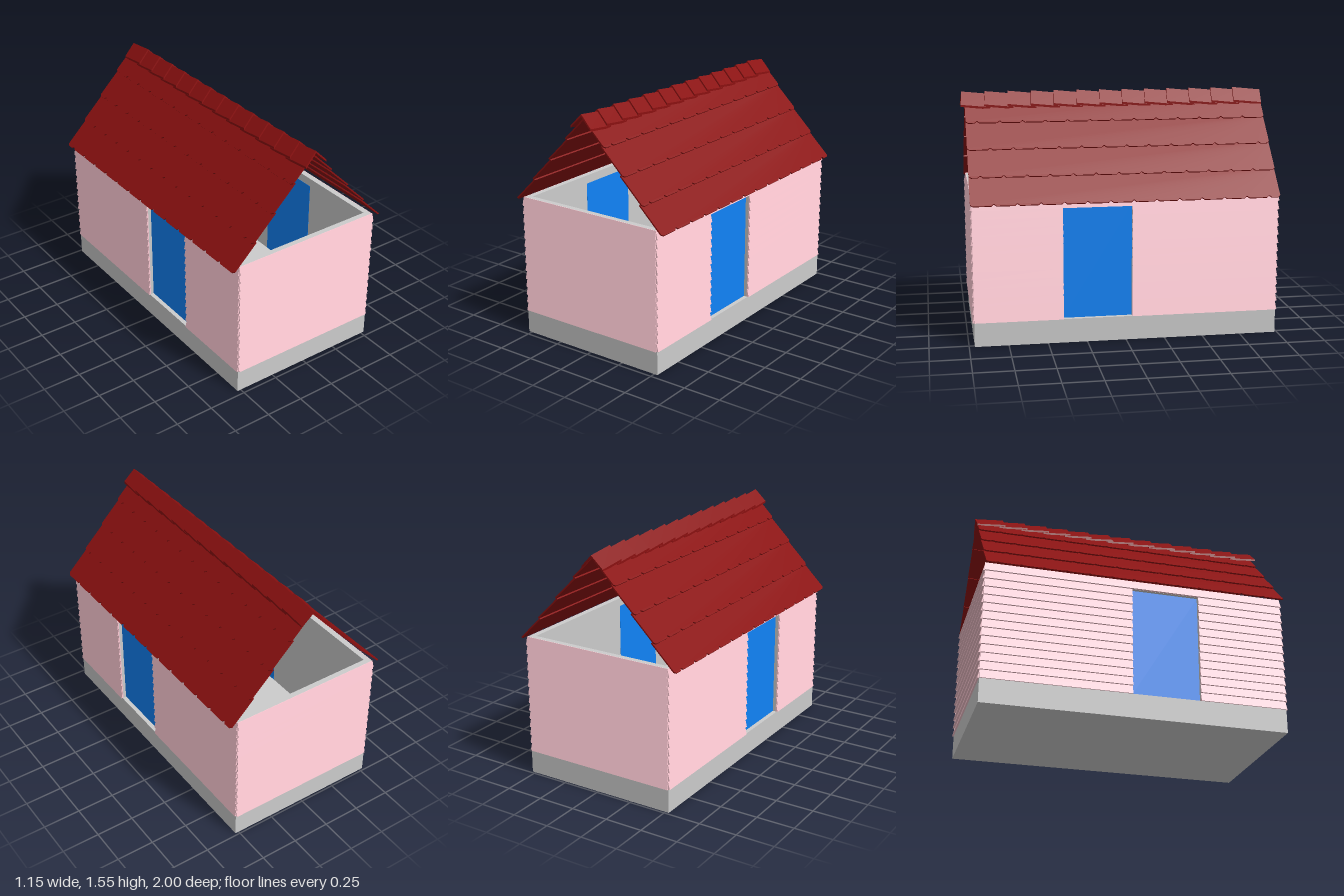
import * as THREE from 'three';

const material = (color) => new THREE.MeshStandardMaterial({ color, side: THREE.DoubleSide });

export function createModel() {
  const model = new THREE.Group();
  const grey = material(0xcccccc);
  const pink = material(0xffcbd5);
  const blue = material(0x1183f7);
  const red = material(0x8b1010);

  const add = (parent, name, geometry, mat) => {
    const mesh = new THREE.Mesh(geometry, mat);
    mesh.name = name;
    parent.add(mesh);
    return mesh;
  };
  const group = (name) => {
    const g = new THREE.Group();
    g.name = name;
    model.add(g);
    return g;
  };
  // box from its min and max corners
  const box = (parent, name, x0, x1, y0, y1, z0, z1, mat) =>
    add(parent, name, new THREE.BoxGeometry(x1 - x0, y1 - y0, z1 - z0), mat)
      .position.set((x0 + x1) / 2, (y0 + y1) / 2, (z0 + z1) / 2);
  const extrude = (points, depth) =>
    new THREE.ExtrudeGeometry(new THREE.Shape(points.map((p) => new THREE.Vector2(...p))),
      { depth, bevelEnabled: false });

  const floorY = 0.155, topY = 0.93, doorY = 0.874;
  const doorBack = -0.04, doorFront = 0.4;
  const wallX = 0.516, innerX = 0.48, front = 0.96, back = -0.98;

  // foundation
  box(model, 'foundation', -0.524, 0.524, 0, floorY, -0.985, 0.965, grey);

  // walls, with a doorway in both long sides
  const walls = group('walls');
  box(walls, 'frontWall', -wallX, wallX, floorY, topY, front - 0.036, front, grey);
  box(walls, 'backWall', -wallX, wallX, floorY, topY, back, back + 0.036, grey);
  const doors = group('doors');
  for (const side of [1, -1]) {
    const [x0, x1] = side > 0 ? [innerX, wallX] : [-wallX, -innerX];
    box(walls, 'sideWallBack', x0, x1, floorY, topY, back + 0.036, doorBack, grey);
    box(walls, 'sideWallFront', x0, x1, floorY, topY, doorFront, front - 0.036, grey);
    box(walls, 'doorLintel', x0, x1, doorY, topY, doorBack, doorFront, grey);
    const doorX = side * 0.487;
    box(doors, 'door', doorX - 0.008, doorX + 0.008, floorY, doorY, doorBack, doorFront, blue);
  }

  // wedge-shaped siding boards
  const siding = group('siding');
  const rows = 14, pitch = (topY - floorY) / rows;
  const board = (name, x, y, z, length, turn) => {
    const geometry = extrude([[0, 0], [0.016, 0], [0.003, pitch], [0, pitch]], length);
    geometry.translate(0, 0, -length / 2);
    const mesh = add(siding, name, geometry, pink);
    mesh.position.set(x, y, z);
    mesh.rotation.y = turn;
  };
  for (let i = 0; i < rows; i++) {
    const y = floorY + i * pitch;
    board('frontBoard', 0, y, front, 1.04, -Math.PI / 2);
    board('backBoard', 0, y, back, 1.04, Math.PI / 2);
    // the top board runs above the doorway, the others stop at it
    const spans = i === rows - 1 ? [[-0.985, 0.965]] : [[-0.985, doorBack], [doorFront, 0.965]];
    for (const side of [1, -1]) {
      for (const [z0, z1] of spans) {
        board('sideBoard', side * wallX, y, (z0 + z1) / 2, z1 - z0, side > 0 ? 0 : Math.PI);
      }
    }
  }

  // roof: four overlapping rows of tiles per slope, notched between the tiles
  const roof = group('roof');
  const roofBack = -0.985, roofFront = 0.975, tile = (roofFront - roofBack) / 13.5;
  const angle = THREE.MathUtils.degToRad(44.3);
  const tileRow = (side, i) => {
    const z = (value) => value * side;
    const length = i < 3 ? 0.228 : 0.218;
    const points = [[z(roofFront), length], [z(roofFront), 0.013], [z(roofFront - 0.016), 0]];
    for (let j = roofFront - tile * (i % 2 ? 0.5 : 1); j > roofBack + 0.03; j -= tile) {
      points.push([z(j + 0.016), 0], [z(j + 0.003), 0.013], [z(j - 0.003), 0.013], [z(j - 0.016), 0]);
    }
    points.push([z(roofBack + 0.016), 0], [z(roofBack), 0.013], [z(roofBack), length]);
    // lay the flat row on the slope, its thickness going inward
    const c = Math.cos(angle), s = Math.sin(angle);
    const along = new THREE.Vector3(0, 0, side);
    const up = new THREE.Vector3(-c * side, s, 0);
    const inward = new THREE.Vector3().crossVectors(along, up);
    const matrix = new THREE.Matrix4().makeBasis(along, up, inward)
      .setPosition(side * (0.575 - 0.139 * i), 0.912 + 0.1525 * i, 0);
    add(roof, 'tileRow', extrude(points, 0.009).applyMatrix4(matrix), red);
  };
  for (const side of [1, -1]) for (let i = 0; i < 4; i++) tileRow(side, i);

  // ridge: tilted caps, each tucked under the next
  const ridge = group('ridge');
  const cap = extrude([[0, 0], [-0.077, -0.078], [-0.077, -0.092], [0, -0.014],
    [0.077, -0.092], [0.077, -0.078]], 0.19);
  cap.translate(0, 0, -0.19);
  for (let i = 0; i < 13; i++) {
    const mesh = add(ridge, 'ridgeCap', cap, red);
    mesh.position.set(0, 1.554, 0.993 - 0.15 * i);
    mesh.rotation.x = -0.1;
  }

  return model;
}
